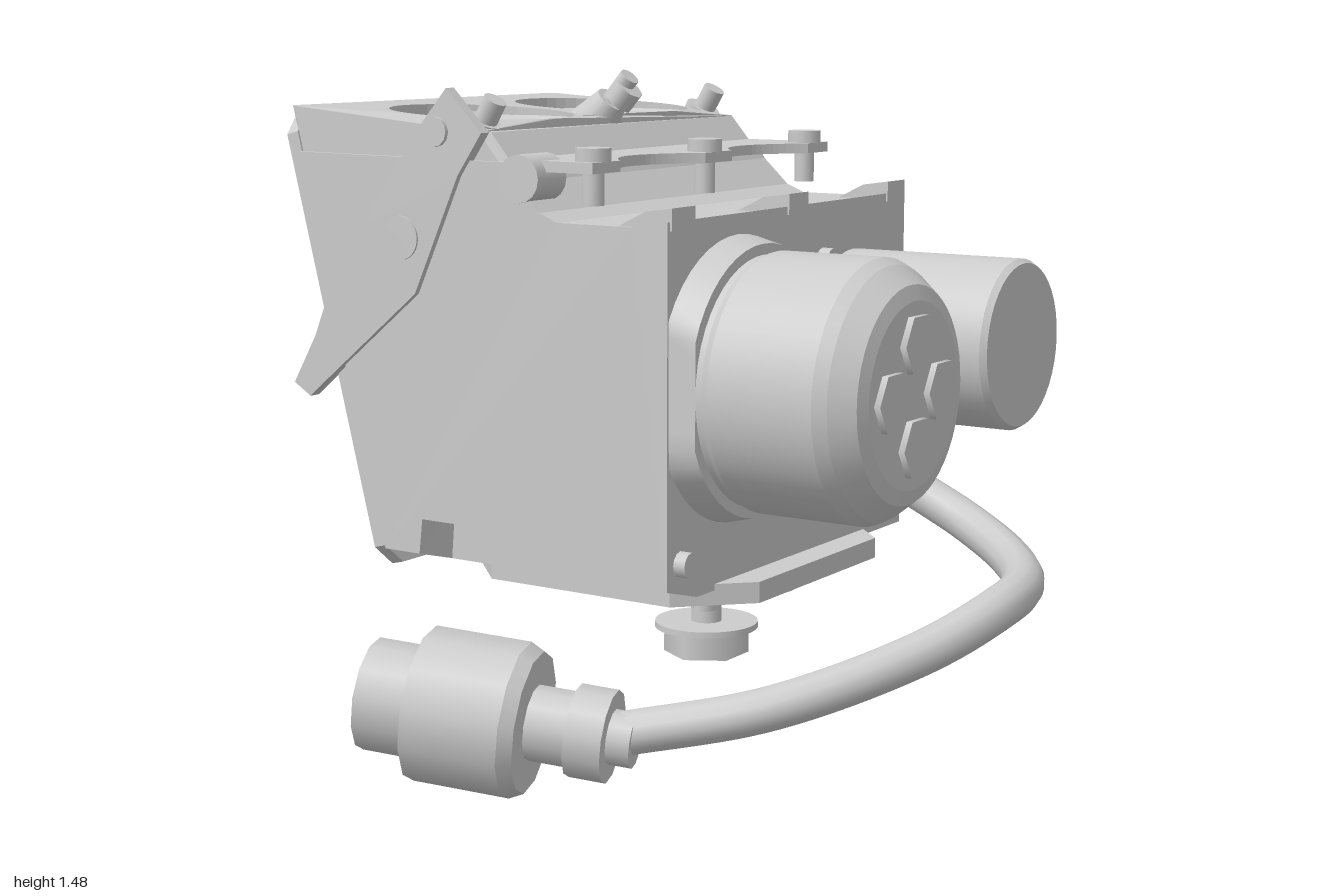
import * as THREE from 'three';

const mat = new THREE.MeshStandardMaterial({ color: 0xcccccc, side: THREE.DoubleSide });
const X = [1, 0, 0], Y = [0, 1, 0], Z = [0, 0, 1];

export function createModel() {
  const root = new THREE.Group();
  root.name = 'machineUnit';

  const add = (name, geo, parent = root) => {
    const m = new THREE.Mesh(geo, mat);
    m.name = name;
    parent.add(m);
    return m;
  };
  const aim = (m, dir, pos) => {
    m.quaternion.setFromUnitVectors(new THREE.Vector3(0, 1, 0), new THREE.Vector3(...dir).normalize());
    m.position.set(...pos);
    return m;
  };
  // cylinder starting at pos and running along dir
  const cyl = (name, r, len, dir, pos, seg = 24, rEnd = r, parent = root) =>
    aim(add(name, new THREE.CylinderGeometry(rEnd, r, len, seg).translate(0, len / 2, 0), parent), dir, pos);
  // lathe with hard profile corners; pairs are [radius, distance along dir]
  const turned = (name, pts, dir, pos, seg = 40) => {
    const dup = pts.flatMap(([r, h], i) => (i && i < pts.length - 1 ? [[r, h], [r, h + 1e-5]] : [[r, h]]));
    return aim(add(name, new THREE.LatheGeometry(dup.map(p => new THREE.Vector2(...p)), seg)), dir, pos);
  };
  const poly = pts => new THREE.Shape(pts.map(p => new THREE.Vector2(...p)));
  const slab = (shape, depth) => new THREE.ExtrudeGeometry(shape, { depth, bevelEnabled: false, curveSegments: 24 });
  // rectangle with cut corners
  const cutRect = (x0, y0, x1, y1, c) => [[x0 + c, y0], [x1 - c, y0], [x1, y0 + c], [x1, y1 - c],
    [x1 - c, y1], [x0 + c, y1], [x0, y1 - c], [x0, y0 + c]];
  // move every vertex by a rule
  const bump = (geo, rule) => {
    const p = geo.attributes.position;
    for (let i = 0; i < p.count; i++) p.setXYZ(i, ...rule(p.getX(i), p.getY(i), p.getZ(i)));
    geo.computeVertexNormals();
    return geo;
  };
  const layer = (name, pts, z0, z1) => add(name, slab(poly(pts), z1 - z0).translate(0, 0, z0));

  // housing, built in slices across its width so the sloped end is hollow
  const upper = [[0.225, 1.17], [0.13, 1.155], [-0.07, 1.155], [-0.12, 1.175], [-0.19, 1.24], [-0.22, 1.285]];
  const full = [[-0.58, 0.31], [0.225, 0.31], ...upper, [-0.835, 1.29]];
  const hollow = [[-0.58, 0.31], [0.225, 0.31], ...upper, [-0.68, 1.29], [-0.44, 0.38], [-0.6, 0.38]];
  const notched = [[-0.585, 0.31], [-0.48, 0.31], [-0.47, 0.43], [0.09, 0.43], [0.1, 0.31], [0.225, 0.31],
    ...upper, [-0.835, 1.29]];
  layer('housingBack', full, -0.84, -0.68);
  layer('housingCore', hollow, -0.68, 0.03);
  layer('housingInnerFront', full, 0.03, 0.14);
  // the front slice has a chamfered lower edge
  bump(layer('housingFront', notched, 0.14, 0.265).geometry, (x, y, z) => [x, y < 0.32 && z > 0.2 ? 0.345 : y, z]);
  for (const [z0, z1] of [[-0.83, -0.74], [-0.34, -0.25], [0.16, 0.255]])
    layer('rearEar', [[0.08, 1.15], [0.23, 1.15], [0.23, 1.2], [0.16, 1.19]], z0, z1);

  // top deck with two dished wells
  const wells = [[-0.52, -0.56], [-0.52, -0.05]];
  const deck = poly(cutRect(-0.85, -0.25, -0.27, 0.84, 0.02));
  for (const [x, z] of wells) deck.holes.push(new THREE.Path().absarc(x, -z, 0.225, 0, Math.PI * 2, true));
  const deckGeo = slab(deck, 0.11).rotateX(-Math.PI / 2).translate(0, 1.28, 0);
  // sloped ends, and a top that falls slightly towards the flange
  add('topDeck', bump(deckGeo, (x, y, z) => {
    const t = (y - 1.28) / 0.11;
    const yy = y + t * (0.01 - 0.03 * (x + 0.88) / 0.6);
    if (x < -0.8) return [x - 0.03 * t, yy, z];
    if (x > -0.291) return [x + 0.05 - 0.06 * t, yy - 0.02 * t, z];
    return [x, yy, z];
  }));
  for (const [x, z] of wells)
    aim(add('well', new THREE.LatheGeometry([0, 0.06, 0.12, 0.17, 0.205, 0.226].map(r =>
      new THREE.Vector2(r, 1.32 + 0.045 * (r / 0.226) ** 2)), 40)), Y, [x, 0, z]);

  // scalloped flange with bolts behind the deck
  const flange = new THREE.Shape();
  flange.moveTo(-0.3, -0.24).lineTo(0.01, -0.24).lineTo(0.01, -0.13);
  flange.quadraticCurveTo(-0.17, 0.06, 0.01, 0.23).lineTo(0.01, 0.35);
  flange.quadraticCurveTo(-0.17, 0.54, 0.01, 0.72).lineTo(0.01, 0.82).lineTo(-0.3, 0.82);
  add('scallopedFlange', slab(flange, 0.025).rotateX(-Math.PI / 2).translate(0, 1.265, 0));
  for (const z of [-0.77, -0.29, 0.18]) {
    cyl('flangeBolt', 0.042, 0.035, Y, [-0.03, 1.285, z], 16);
    cyl('flangeBoltShank', 0.025, 0.1, Y, [-0.03, 1.19, z], 12);
  }
  for (const z of [-0.77, 0.18]) {
    cyl('deckScrewBase', 0.045, 0.05, [0.5, 1, 0], [-0.36, 1.33, z], 12);
    cyl('deckScrew', 0.028, 0.09, [0.6, 1, 0], [-0.35, 1.345, z], 12);
  }
  cyl('fillerNeck', 0.065, 0.09, [0.7, 0.8, 0], [-0.36, 1.34, -0.29], 16, 0.04);
  cyl('fillerStem', 0.025, 0.14, [0.7, 0.8, 0], [-0.34, 1.36, -0.29], 12);
  cyl('fillerKnob', 0.036, 0.05, [0.7, 0.8, 0], [-0.28, 1.4, -0.29], 8);

  // sloped intake end: x runs along world z, y runs up the slope, z points outward
  const intake = new THREE.Group();
  intake.name = 'slopedIntake';
  const up = new THREE.Vector3(-0.255, 1, 0).normalize();
  const along = new THREE.Vector3(0, 0, 1);
  const basis = new THREE.Matrix4().makeBasis(along, up, along.clone().cross(up));
  intake.applyMatrix4(basis.setPosition(-0.585, 0.3, 0));
  root.add(intake);
  const opening = cutRect(-0.62, 0.08, -0.02, 0.96, 0.1);
  const ring = (outer, hole) => {
    const s = poly(outer);
    s.holes.push(new THREE.Path(hole.map(p => new THREE.Vector2(...p))));
    return s;
  };
  const octagon = (x, y, r) => [...Array(8)].map((_, i) =>
    [x + r * Math.cos(i * Math.PI / 4), y + r * Math.sin(i * Math.PI / 4)]);
  add('intakeGasket', slab(ring(cutRect(-0.845, 0, 0.255, 1.12, 0.05), opening), 0.035).translate(0, 0, -0.005), intake);
  // frame thickens towards the top, with slightly drawn-in sides
  add('intakeFrame', bump(slab(ring(cutRect(-0.77, 0.04, 0.13, 1.13, 0.08), opening), 1), (x, y, z) => {
    const edge = x < -0.65 ? 0.02 * z : x > 0.01 ? -0.02 * z : 0;
    return [x + edge, y, z * (0.045 + 0.095 * Math.max(0, (y - 0.35) / 0.75))];
  }), intake);
  add('intakePanel', slab(ring(cutRect(-0.66, 0.08, 0.02, 0.62, 0.04), octagon(-0.48, 0.48, 0.08)), 0.05)
    .translate(0, 0, -0.1), intake);
  add('crossBar', new THREE.BoxGeometry(0.64, 0.08, 0.15).translate(-0.32, 0.6, -0.05), intake);
  for (const [x, y, r] of [[-0.48, 0.48, 0.11], [-0.15, 0.4, 0.15], [-0.36, 0.25, 0.13], [-0.13, 0.18, 0.09]])
    add('intakeLobe', slab(ring(octagon(x, y, r), octagon(x, y, r * 0.65)), 0.12).translate(0, 0, -0.08), intake);
  cyl('intakeNozzle', 0.06, 0.25, Z, [-0.2, 0.63, -0.1], 8, 0.045, intake);
  for (const x of [-0.8, 0.2]) for (const y of [0.12, 0.55, 1.0])
    cyl('gasketBolt', 0.026, 0.045, Z, [x, y, 0.01], 10, 0.026, intake);
  for (const z of [-0.6, 0.0]) cyl('footBolt', 0.035, 0.09, [-1, -0.25, 0], [-0.56, 0.325, z], 10);

  // large motor on a flange trimmed flush with the housing, with hexagonal end studs
  turned('mainMotor', [[0.29, 0], [0.29, 0.1], [0.3, 0.12], [0.3, 0.38], [0.285, 0.41], [0.245, 0.46],
    [0.21, 0.47], [0, 0.47]], X, [0.21, 0.79, -0.03], 48);
  const mount = new THREE.CylinderGeometry(0.315, 0.335, 0.08, 48).rotateZ(-Math.PI / 2).translate(0.255, 0.79, -0.03);
  add('mainMotorFlange', bump(mount, (x, y, z) => [x, y, Math.min(z, 0.26)]));
  for (let i = 0; i < 4; i++) {
    const a = i * Math.PI / 2;
    cyl('endStud', 0.072, 0.025, X, [0.67, 0.79 + 0.115 * Math.cos(a), -0.03 + 0.115 * Math.sin(a)], 6);
  }
  // smaller motor
  turned('secondMotor', [[0, 0], [0.205, 0], [0.205, 0.45], [0.195, 0.465], [0, 0.465]], X, [0.22, 0.84, -0.575], 40);
  for (const [y, z] of [[1.03, -0.42], [0.65, -0.74], [0.44, -0.77], [0.4, 0.21]])
    cyl('endBolt', 0.03, 0.04, X, [0.215, y, z], 12);

  // domed cap and discs on the back
  turned('backCap', [[0, 0], [0.22, 0], [0.22, 0.09], [0.04, 0.12], [0, 0.122]], [0, 0, -1], [-0.29, 0.515, -0.835]);
  for (const [x, y, r] of [[-0.42, 1.12, 0.08], [-0.14, 1.03, 0.055], [-0.74, 1.2, 0.025], [-0.61, 0.85, 0.025]])
    cyl('backDisc', r, 0.02, [0, 0, -1], [x, y, -0.835], 20);

  // diamond lever on the front
  layer('lever', [[-0.37, 1.45], [-0.45, 1.36], [-0.62, 1.13], [-0.73, 0.97], [-0.78, 0.85], [-0.85, 0.73], [-0.8, 0.7],
    [-0.74, 0.75], [-0.47, 0.97], [-0.34, 1.25], [-0.27, 1.35]], 0.25, 0.28);
  cyl('leverPivot', 0.052, 0.012, Z, [-0.51, 1.1, 0.273], 24);
  cyl('leverPin', 0.035, 0.12, Z, [-0.4, 1.35, 0.17], 12);
  cyl('hingePin', 0.055, 0.11, Z, [-0.17, 1.25, 0.165], 16);

  // base plate, drain disc and nut
  add('basePlate', slab(poly(cutRect(-0.51, -0.14, 0.3, 0.72, 0.15)), 0.05).rotateX(-Math.PI / 2).translate(0, 0.275, 0));
  for (const x of [-0.36, 0.18]) for (const z of [-0.62, 0.04])
    cyl('baseBolt', 0.03, 0.025, Y, [x, 0.255, z], 10);
  cyl('drainDisc', 0.24, 0.05, Y, [-0.02, 0.235, -0.29], 36, 0.26);
  cyl('drainStem', 0.038, 0.12, Y, [-0.02, 0.12, -0.29], 16);
  cyl('drainWasher', 0.128, 0.015, Y, [-0.02, 0.115, -0.29], 28);
  cyl('drainNut', 0.105, 0.065, Y, [-0.02, 0.05, -0.29], 6);

  // cable and plug
  const path = new THREE.CatmullRomCurve3([[0.2, 0.64, -0.37], [0.3, 0.63, -0.37], [0.45, 0.54, -0.37], [0.66, 0.45, -0.345],
    [0.82, 0.405, -0.24], [0.93, 0.39, -0.07], [0.95, 0.375, 0.1], [0.87, 0.31, 0.29], [0.65, 0.215, 0.53],
    [0.37, 0.15, 0.68]].map(p => new THREE.Vector3(...p)));
  add('cable', new THREE.TubeGeometry(path, 64, 0.047, 12));
  cyl('cableGland', 0.07, 0.06, X, [0.21, 0.64, -0.37], 16);
  turned('plug', [[0, 0], [0.058, 0], [0.058, 0.05], [0.098, 0.05], [0.098, 0.13], [0.08, 0.13], [0.08, 0.22],
    [0.15, 0.22], [0.165, 0.25], [0.165, 0.46], [0.12, 0.46], [0.12, 0.58], [0, 0.58]],
  [-0.93, 0.1, 0.32], [0.41, 0.14, 0.665], 12);

  return root;
}
